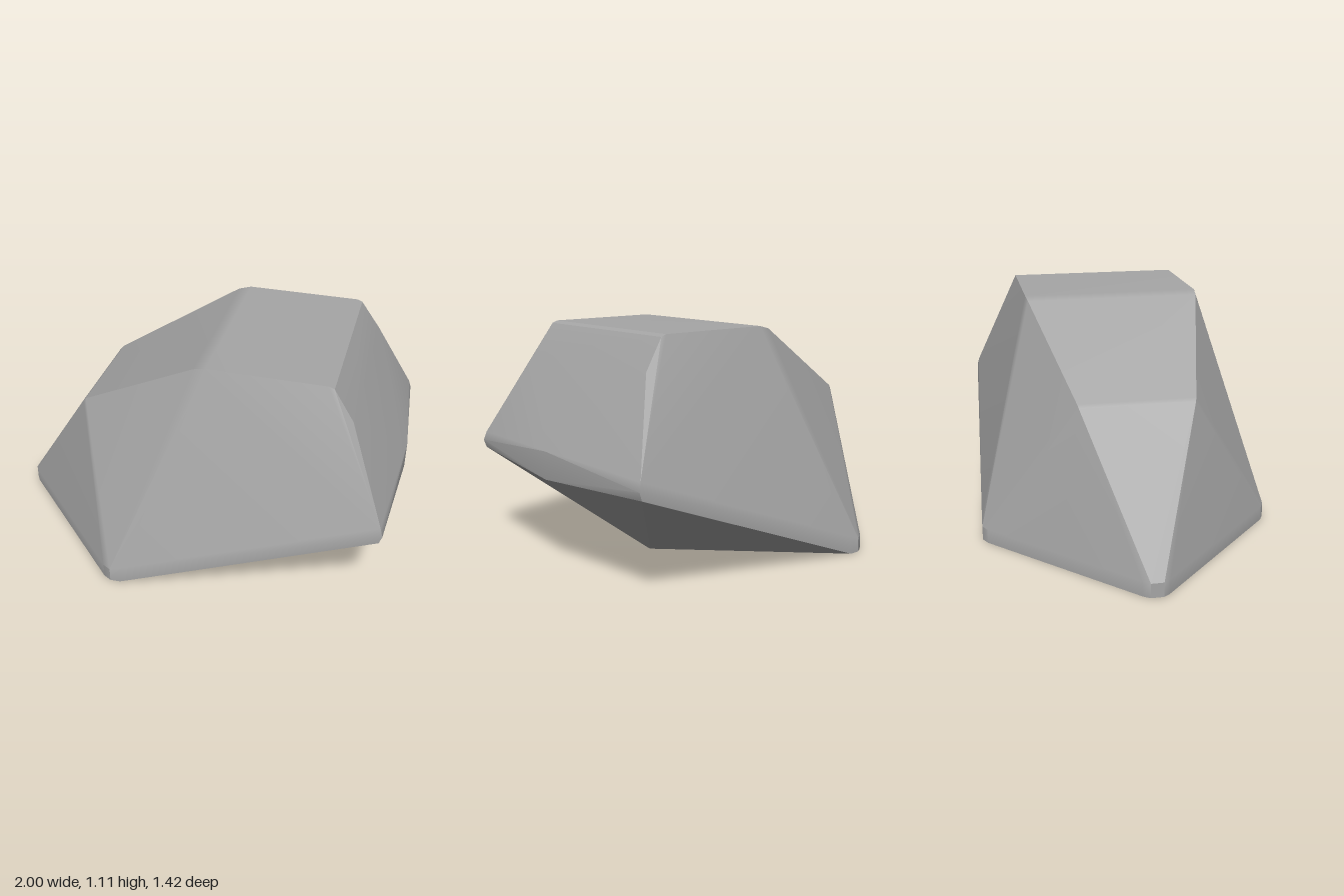
import * as THREE from 'three';
import { ConvexGeometry } from 'three/addons/geometries/ConvexGeometry.js';

// Area-weighted normals: soften shallow bevels, keep the big facets flat.
function softenBevels(geometry, maxAngle) {
  const pos = geometry.attributes.position;
  const point = (i) => new THREE.Vector3().fromBufferAttribute(pos, i);
  const key = (i) => point(i).toArray().map((v) => v.toFixed(4)).join();
  const faceNormals = [];
  const around = new Map();
  for (let i = 0; i < pos.count; i += 3) {
    const a = point(i);
    const n = point(i + 1).sub(a).cross(point(i + 2).sub(a));
    faceNormals.push(n);
    for (let k = i; k < i + 3; k++) {
      if (!around.has(key(k))) around.set(key(k), []);
      around.get(key(k)).push(n);
    }
  }
  for (let i = 0; i < pos.count; i++) {
    const own = faceNormals[Math.floor(i / 3)];
    const sum = own.clone();
    for (const n of around.get(key(i))) {
      if (n !== own && n.angleTo(own) < maxAngle) sum.add(n);
    }
    sum.normalize();
    geometry.attributes.normal.setXYZ(i, sum.x, sum.y, sum.z);
  }
}

export function createModel() {
  const stone = new THREE.MeshStandardMaterial({ color: 0xa6a6a6 });
  stone.name = 'grey stone';

  // Corners of one half (z >= 0); the other half is mirrored.
  const half = [
    // pointed nose with a low vertical rim
    [-1, 0, 0.03], [-1, 0.07, 0.03], [-0.98, 0, 0.06], [-0.98, 0.07, 0.06],
    [-0.66, 0, 0.38], [-0.66, 0.07, 0.38],
    // wide shoulder, rounded
    [-0.35, 0, 0.69], [-0.35, 0.07, 0.69], [-0.31, 0, 0.712], [-0.31, 0.07, 0.712],
    [-0.26, 0, 0.71], [-0.25, 0.09, 0.71],
    // tail of the base
    [0.43, 0, 0.01],
    // sloping and flat roof
    [-0.57, 0.735, 0.27], [-0.555, 0.75, 0.275],
    [0.04, 1.095, 0.425], [0.1, 1.11, 0.433], [0.65, 1.11, 0.433],
    [0.675, 1.1, 0.433], [0.77, 0.96, 0.45],
    // overhanging back corner and mid ridge
    [0.95, 0.56, 0.643], [0.962, 0.52, 0.652], [0.95, 0.482, 0.65],
    [1, 0.58, 0], [1, 0.45, 0],
  ];
  const points = half.flatMap(([x, y, z]) => {
    const p = [new THREE.Vector3(x, y, z)];
    if (z > 0) p.push(new THREE.Vector3(x, y, -z));
    return p;
  });

  const geometry = new ConvexGeometry(points);
  softenBevels(geometry, 0.35);

  const rock = new THREE.Mesh(geometry, stone);
  rock.name = 'rock';
  const group = new THREE.Group();
  group.name = 'boulder';
  group.add(rock);
  return group;
}
